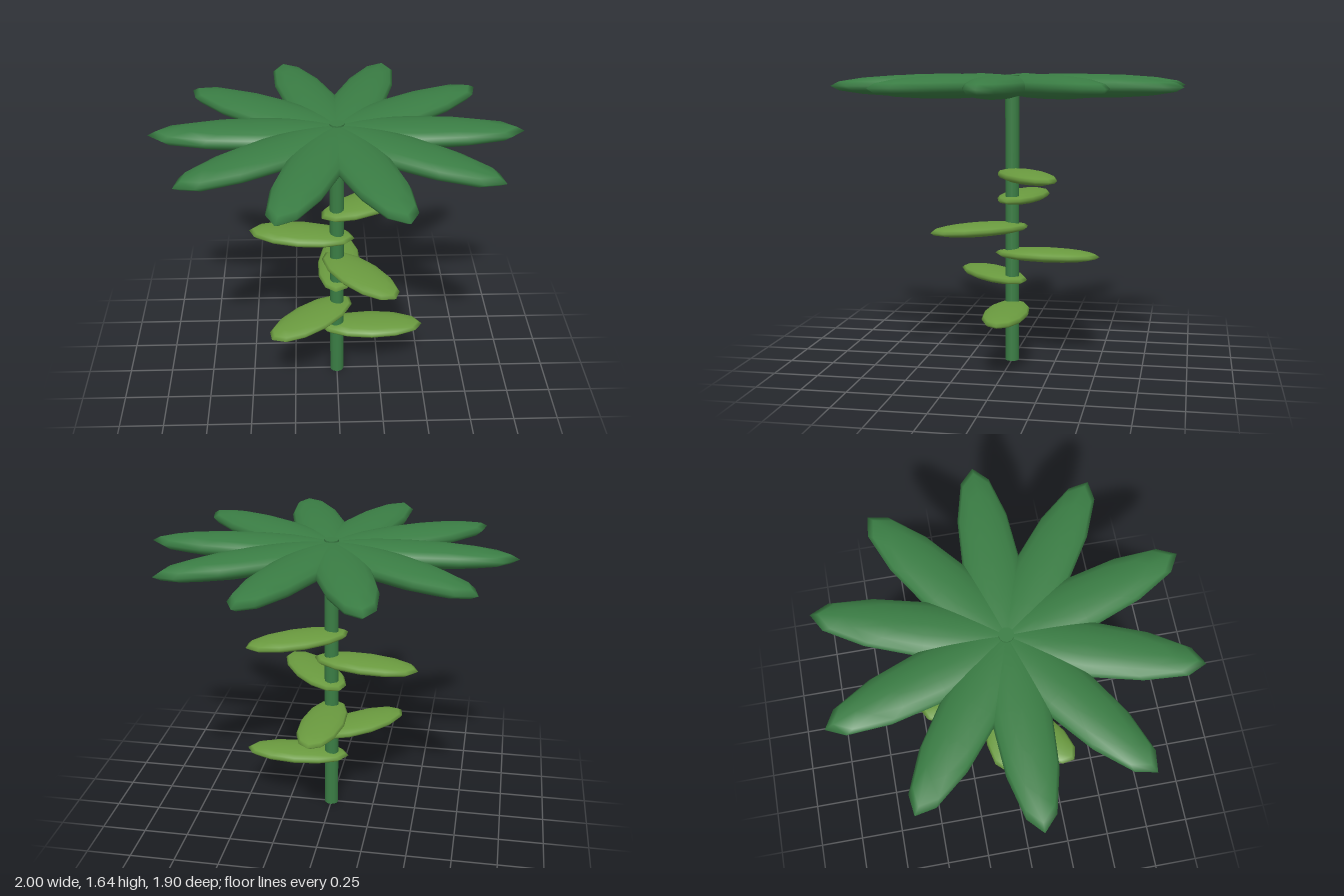
import * as THREE from 'three';

export function createModel() {
  const model = new THREE.Group();
  model.name = 'plant';

  const darkGreen = new THREE.MeshStandardMaterial({ color: 0x3a7d44 });
  darkGreen.name = 'dark green';
  const leafGreen = new THREE.MeshStandardMaterial({ color: 0x6a9a3f });
  leafGreen.name = 'leaf green';

  // Flattened ellipsoid blade pointing along +x, starting just behind the stem
  function bladeGeometry(halfLength, halfThickness, halfWidth, offset) {
    const geometry = new THREE.SphereGeometry(1, 12, 8);
    geometry.scale(halfLength, halfThickness, halfWidth);
    geometry.translate(offset, 0, 0);
    return geometry;
  }

  function addBlade(name, geometry, material, y, angle) {
    const blade = new THREE.Mesh(geometry, material);
    blade.name = name;
    blade.position.y = y;
    blade.rotation.y = -angle; // turns +x towards +z
    model.add(blade);
  }

  // Stem, ending just above the crown
  const stemHeight = 1.635;
  const stem = new THREE.Mesh(new THREE.CylinderGeometry(0.04, 0.04, stemHeight, 12), darkGreen);
  stem.name = 'stem';
  stem.position.y = stemHeight / 2;
  model.add(stem);

  // Crown of ten large fronds
  const frond = bladeGeometry(0.6, 0.063, 0.15, 0.4);
  for (let i = 0; i < 10; i++) {
    addBlade(`frond${i + 1}`, frond, darkGreen, 1.577, (i / 10) * Math.PI * 2);
  }

  // Six small leaves spiralling up the stem by the golden angle
  const leaf = bladeGeometry(0.303, 0.038, 0.125, 0.202);
  const goldenAngle = THREE.MathUtils.degToRad(137.5);
  for (let i = 0; i < 6; i++) {
    addBlade(`leaf${i + 1}`, leaf, leafGreen, 0.32 + i * 0.153, i * goldenAngle);
  }

  return model;
}
